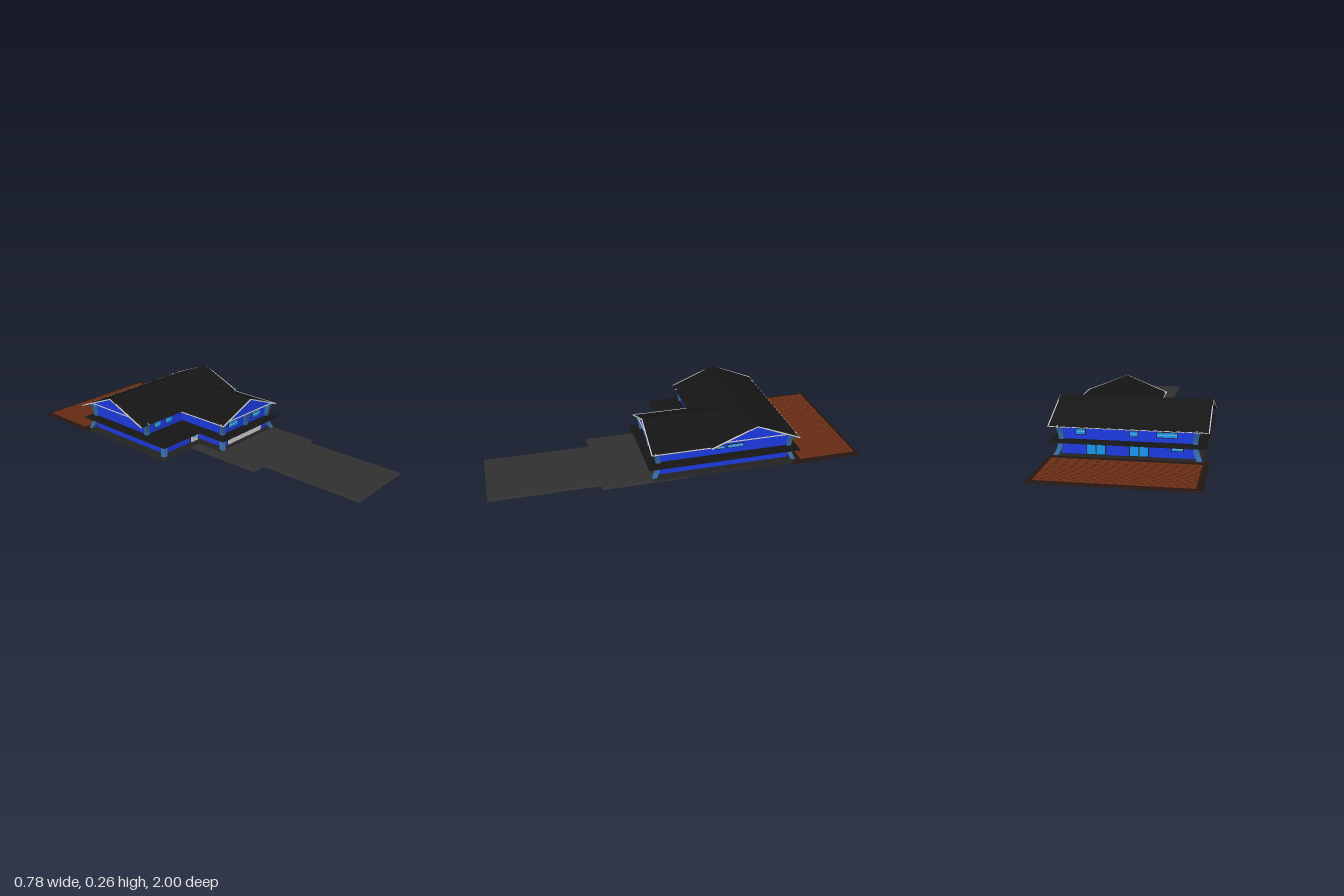
import * as THREE from 'three';

const mat = (color) => new THREE.MeshStandardMaterial({ color, flatShading: true, side: THREE.DoubleSide });
const M = {
  wall: mat(0x1c3ae0), post: mat(0x34689f), roof: mat(0x151515), trim: mat(0xcccccc), glass: mat(0x1596ee),
  frame: mat(0x2a1712), drive: mat(0x303030), edge: mat(0x241510), brick: mat(0x6a2c14), grout: mat(0x3a1a10),
  base: mat(0x222222), floorDark: mat(0x120c0a), floorBrown: mat(0x3a2416), tile: mat(0x5fa39a), brass: mat(0x8a6a20),
};

export function createModel() {
  const model = new THREE.Group();
  const add = (name, geo, material, parent = model) => {
    const mesh = new THREE.Mesh(geo, material);
    mesh.name = name;
    parent.add(mesh);
    return mesh;
  };
  const box = (name, material, x0, x1, y0, y1, z0, z1, parent) => {
    const m = add(name, new THREE.BoxGeometry(x1 - x0, y1 - y0, z1 - z0), material, parent);
    m.position.set((x0 + x1) / 2, (y0 + y1) / 2, (z0 + z1) / 2);
    return m;
  };

  // Upright slab over a right-angled [x, z] outline, top edge drawn in by inset
  const slab = (name, material, outline, y0, y1, inset = 0) => {
    const pts = outline.map(([x, z]) => new THREE.Vector2(x, -z));
    if (THREE.ShapeUtils.isClockWise(pts)) pts.reverse();
    const geo = new THREE.ExtrudeGeometry(new THREE.Shape(pts), { depth: y1 - y0, bevelEnabled: false });
    const n = pts.length, pos = geo.attributes.position;
    const normal = (a, b) => new THREE.Vector2(a.y - b.y, b.x - a.x).normalize();
    const shift = pts.map((p, i) => normal(pts[(i + n - 1) % n], p).add(normal(p, pts[(i + 1) % n])).multiplyScalar(inset));
    for (let i = 0; i < pos.count; i++) {
      if (pos.getZ(i) < (y1 - y0) / 2) continue;
      const k = pts.findIndex((p) => Math.hypot(p.x - pos.getX(i), p.y - pos.getY(i)) < 1e-4);
      pos.setXY(i, pts[k].x + shift[k].x, pts[k].y + shift[k].y);
    }
    geo.rotateX(-Math.PI / 2).translate(0, y0, 0);
    geo.computeVertexNormals();
    return add(name, geo, material);
  };
  // L-shaped plan: a full-depth right wing and a shorter left wing
  const plan = (xl, xm, xr, zb, zl, zf) => [[xl, zb], [xr, zb], [xr, zf], [xm, zf], [xm, zl], [xl, zl]];

  // Grounds
  slab('driveway', M.drive, [[-0.155, -0.02], [0.378, -0.02], [0.378, 0.43], [0.34, 0.43], [0.34, 1],
    [-0.07, 1], [-0.07, 0.43], [-0.155, 0.43]], 0, 0.007, 0.012);
  slab('patioBorder', M.edge, [[-0.393, -1], [0.39, -1], [0.39, -0.6], [-0.393, -0.6]], 0, 0.007, 0.01);
  box('patioBricks', M.brick, -0.365, 0.36, 0.002, 0.009, -0.975, -0.66);
  for (let i = 1; i < 14; i++) {
    const z = -0.975 + i * 0.0225;
    box('patioJoint', M.grout, -0.365, 0.36, 0.0085, 0.0093, z - 0.0008, z + 0.0008);
  }
  slab('foundation', M.base, plan(-0.375, -0.1, 0.375, -0.63, 0, 0.16), 0.001, 0.013, 0.012);

  // Room floors seen under the foundation
  box('livingFloor', M.floorDark, -0.33, 0.05, 0.0002, 0.002, -0.59, -0.25);
  box('bedroomFloor', M.floorBrown, 0.05, 0.33, 0.0002, 0.002, -0.59, -0.33);
  box('hallFloor', M.floorBrown, -0.21, -0.04, 0.0002, 0.002, -0.25, -0.06);
  box('sideFloor', M.floorBrown, -0.33, -0.21, 0.0002, 0.002, -0.25, -0.18);
  box('washroomFloor', M.tile, -0.33, -0.21, 0.0002, 0.002, -0.18, -0.055);

  // Storeys and the skirt roof between them
  slab('lowerWalls', M.wall, plan(-0.326, -0.052, 0.326, -0.595, -0.045, 0.128), 0.012, 0.08);
  slab('upperWalls', M.wall, plan(-0.326, -0.052, 0.326, -0.595, -0.175, 0.128), 0.085, 0.158);
  slab('skirtRoof', M.roof, plan(-0.38, -0.11, 0.382, -0.645, 0.01, 0.185), 0.077, 0.088, 0.018);

  // Corner posts that bow outwards at foot and head
  const post = (x, z, sx, sz, y0, y1) => {
    const geo = new THREE.BoxGeometry(0.024, y1 - y0, 0.024, 1, 8, 1);
    geo.translate(x, (y0 + y1) / 2, z);
    const p = geo.attributes.position;
    for (let i = 0; i < p.count; i++) {
      const d = 3.5 * (p.getY(i) - 0.09) ** 2;
      p.setX(i, p.getX(i) + sx * d);
      p.setZ(i, p.getZ(i) + sz * d);
    }
    geo.computeVertexNormals();
    add('post', geo, M.post);
  };
  for (const [x, z, sx, sz] of [[-0.326, -0.595, -1, -1], [0.326, -0.595, 1, -1], [0.326, 0.128, 1, 1], [-0.052, 0.128, -1, 1]])
    post(x, z, sx, sz, 0.012, 0.157);
  post(-0.326, -0.045, -1, 1, 0.012, 0.08);
  post(-0.326, -0.175, -1, 1, 0.085, 0.157);
  post(0.138, 0.128, -0.3, 1, 0.085, 0.157);

  // Flat panel or sheet from corner points
  const sheet = (name, material, ...corners) => {
    const geo = new THREE.BufferGeometry();
    const order = corners.length === 4 ? [0, 1, 2, 0, 2, 3] : [0, 1, 2];
    geo.setAttribute('position', new THREE.Float32BufferAttribute(order.flatMap((i) => corners[i]), 3));
    geo.computeVertexNormals();
    return add(name, geo, material);
  };
  // Thin board between two points
  const board = (name, a, b, t = 0.005, h = 0.006) => {
    const p = new THREE.Vector3(...a), q = new THREE.Vector3(...b);
    const m = add(name, new THREE.BoxGeometry(t, h, p.distanceTo(q)), M.trim);
    m.position.copy(p).lerp(q, 0.5);
    m.lookAt(q);
  };

  // Main roof with a ridge across the house
  const eave = 0.156, ridge = 0.26, zr = -0.39, half = 0.245;
  const profile = new THREE.Shape([[-half, eave], [0, ridge], [half, eave], [half - 0.01, eave - 0.002], [0, ridge - 0.006],
    [-half + 0.01, eave - 0.002]].map(([a, b]) => new THREE.Vector2(a, b)));
  const roofGeo = new THREE.ExtrudeGeometry(profile, { depth: 0.775, bevelEnabled: false });
  roofGeo.rotateY(Math.PI / 2).translate(-0.393, 0, zr);
  add('mainRoof', roofGeo, M.roof);
  for (const [wall, edge] of [[-0.335, -0.392], [0.335, 0.381]]) {
    sheet('sideGable', M.wall, [wall, eave, zr - half], [wall, eave, zr + half], [wall, ridge - 0.005, zr]);
    for (const s of [-1, 1])
      board('gableBoard', [edge, eave, zr + s * half], [edge, ridge - 0.004, zr]);
    board('gableBeam', [wall, eave + 0.002, zr - half], [wall, eave + 0.002, zr + half], 0.006, 0.005);
  }
  board('backGutter', [-0.39, eave - 0.001, -0.632], [0.38, eave - 0.001, -0.632], 0.004, 0.004);

  // Front roof, its ridge dying into the main slope
  const fx = 0.14, fw = 0.228, fz = 0.167, top = 0.25;
  const meet = zr + half * (ridge - top) / (ridge - eave);
  for (const s of [-1, 1]) {
    const x = fx + s * fw;
    sheet('frontRoof', M.roof, [x, eave, fz], [fx, top, fz], [fx, top, meet], [x, eave, zr + half]);
    board('frontGableBoard', [x, eave, fz], [fx, top - 0.003, fz]);
    board('frontGutter', [x, eave, fz], [x, eave, zr + half], 0.004, 0.004);
  }
  sheet('frontGable', M.wall, [fx - fw, eave, 0.145], [fx + fw, eave, 0.145], [fx, top - 0.002, 0.145]);
  board('frontGableBeam', [fx - fw, eave + 0.002, 0.146], [fx + fw, eave + 0.002, 0.146], 0.006, 0.005);

  // Windows, facing +z before turning
  const windowAt = (x, y, z, w, h, turn = 0) => {
    const g = new THREE.Group();
    g.name = 'window';
    g.position.set(x, y, z);
    g.rotation.y = turn;
    box('windowFrame', M.frame, -w / 2, w / 2, -h / 2, h / 2, -0.002, 0.003, g);
    box('windowGlass', M.glass, -w / 2 + 0.003, w / 2 - 0.003, -h / 2 + 0.003, h / 2 - 0.003, 0, 0.004, g);
    box('windowBar', M.trim, -w / 2 + 0.003, w / 2 - 0.003, -0.001, 0.001, 0.002, 0.005, g);
    model.add(g);
  };
  windowAt(-0.25, 0.126, -0.175, 0.05, 0.036);
  windowAt(-0.162, 0.126, -0.175, 0.046, 0.036);
  windowAt(0.033, 0.126, 0.128, 0.076, 0.036);
  windowAt(0.233, 0.126, 0.128, 0.071, 0.036);
  windowAt(-0.241, 0.061, -0.045, 0.056, 0.018);
  windowAt(0.326, 0.129, -0.21, 0.05, 0.022, Math.PI / 2);
  windowAt(0.326, 0.129, -0.295, 0.09, 0.022, Math.PI / 2);
  for (const [x, w] of [[0.23, 0.05], [-0.03, 0.04], [-0.19, 0.1]]) windowAt(x, 0.126, -0.595, w, 0.03, Math.PI);
  windowAt(-0.24, 0.058, -0.595, 0.06, 0.022, Math.PI);

  // Glazed patio doors
  for (const x of [0.155, -0.055]) {
    box('patioDoorFrame', M.frame, x - 0.048, x + 0.048, 0.012, 0.072, -0.598, -0.59);
    for (const s of [-1, 1])
      box('patioDoorGlass', M.glass, x + s * 0.023 - 0.021, x + s * 0.023 + 0.021, 0.016, 0.069, -0.6, -0.592);
  }

  // Front door
  box('doorFrame', M.frame, -0.125, -0.064, 0.012, 0.073, -0.046, -0.042);
  box('frontDoor', M.trim, -0.122, -0.067, 0.012, 0.07, -0.045, -0.04);
  box('doorGlass', M.glass, -0.104, -0.085, 0.036, 0.066, -0.044, -0.039);
  add('doorKnob', new THREE.SphereGeometry(0.004, 10, 8), M.brass).position.set(-0.074, 0.03, -0.037);

  // Sectional garage door
  box('garageFrame', M.frame, -0.011, 0.282, 0.012, 0.079, 0.126, 0.13);
  for (let i = 0; i < 4; i++)
    box('garagePanel', M.trim, -0.007, 0.279, 0.0125 + i * 0.0162, 0.028 + i * 0.0162, 0.128, 0.132);

  return model;
}
